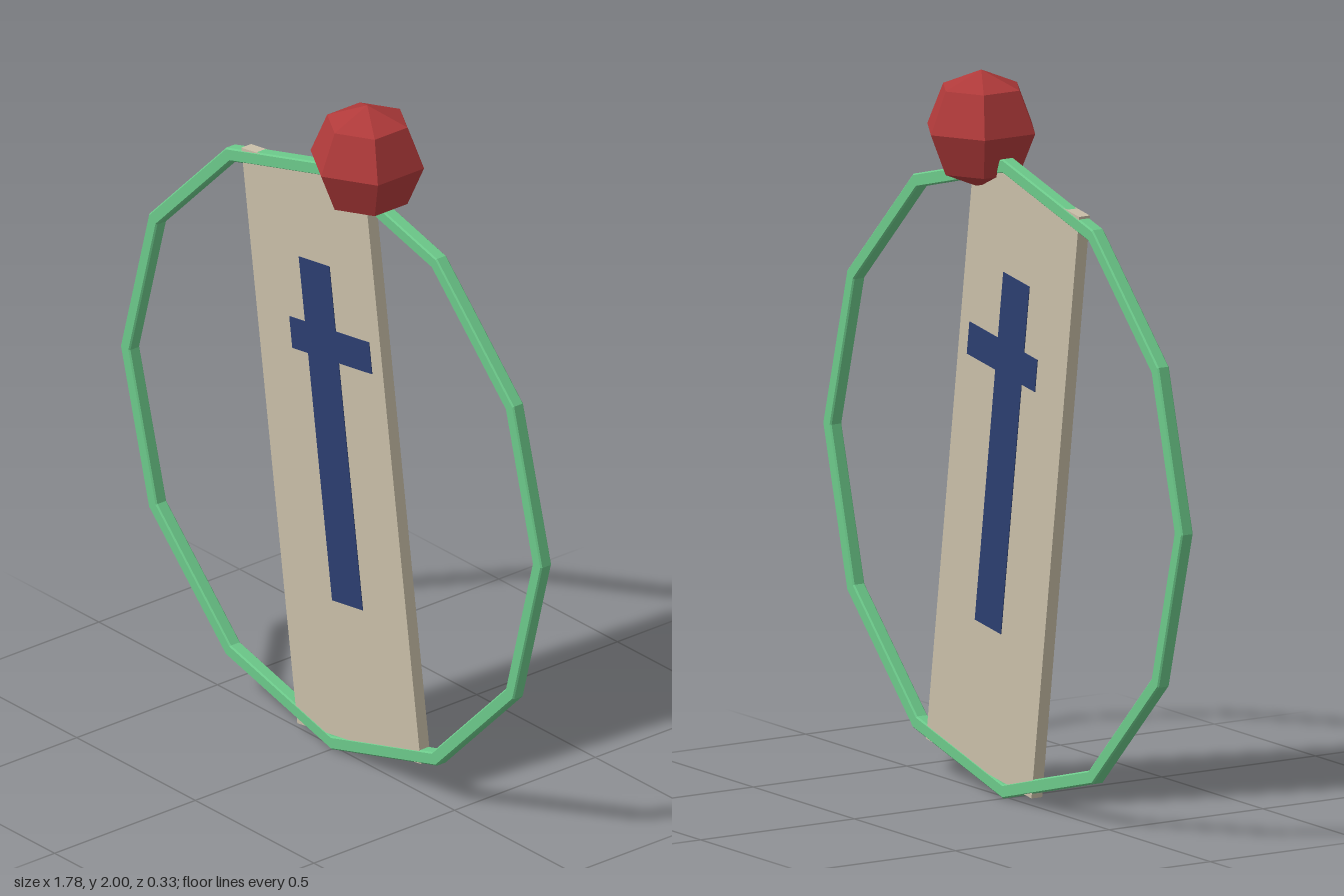
import * as THREE from 'three';

const material = (name, color) => {
  const m = new THREE.MeshStandardMaterial({ color });
  m.name = name;
  m.flatShading = true;
  return m;
};

// closed regular polygon with a corner straight up
function polygon(path, radius, sides) {
  for (let i = 0; i < sides; i++) {
    const a = Math.PI / 2 + (i / sides) * Math.PI * 2;
    const x = radius * Math.cos(a), y = radius * Math.sin(a);
    if (i === 0) path.moveTo(x, y); else path.lineTo(x, y);
  }
  path.closePath();
  return path;
}

export function createModel() {
  const green = material('green', 0x6cc98a);
  const beige = material('beige', 0xc9bfa8);
  const navy = material('navy', 0x2c3e70);
  const red = material('red', 0xb03a3a);

  const model = new THREE.Group();
  model.name = 'model';
  const add = (parent, name, geometry, mat, x, y, z = 0) => {
    const mesh = new THREE.Mesh(geometry, mat);
    mesh.name = name;
    mesh.position.set(x, y, z);
    parent.add(mesh);
    return mesh;
  };

  // twelve-sided ring with slightly bevelled edges
  const bevel = 0.004;
  const outline = polygon(new THREE.Shape(), 0.888 - bevel, 12);
  outline.holes.push(polygon(new THREE.Path(), 0.849 + bevel, 12));
  const ring = new THREE.ExtrudeGeometry(outline, {
    depth: 0.038 - 2 * bevel, bevelEnabled: true,
    bevelSize: bevel, bevelThickness: bevel, bevelSegments: 1,
  });
  ring.translate(0, 0, -0.019 + bevel);
  add(model, 'ring', ring, green, 0, 0.888);

  // leaning panel
  const banner = new THREE.Group();
  banner.name = 'leaningPanel';
  banner.position.set(0, 0.891, 0);
  banner.rotation.z = THREE.MathUtils.degToRad(8.1);
  model.add(banner);
  add(banner, 'panel', new THREE.BoxGeometry(0.526, 1.674, 0.035), beige, 0, 0);

  // cross plate on both faces, with its bar offset to one side
  const cross = new THREE.Shape();
  [
    [-0.055, -0.432], [0.075, -0.432], [0.075, 0.287], [0.217, 0.287],
    [0.217, 0.379], [0.075, 0.379], [0.075, 0.568], [-0.055, 0.568],
    [-0.055, 0.379], [-0.122, 0.379], [-0.122, 0.287], [-0.055, 0.287],
  ].forEach(([x, y], i) => (i ? cross.lineTo(x, y) : cross.moveTo(x, y)));
  cross.closePath();
  const plate = new THREE.ExtrudeGeometry(cross, { depth: 0.003, bevelEnabled: false });
  add(banner, 'frontCross', plate, navy, 0, 0, 0.0165);
  add(banner, 'backCross', plate, navy, 0, 0, -0.0195);

  // faceted ball on top, one corner facing forward
  const ball = add(model, 'ball', new THREE.SphereGeometry(0.164, 6, 4), red, 0.132, 1.836);
  ball.rotation.y = Math.PI / 2;

  return model;
}
